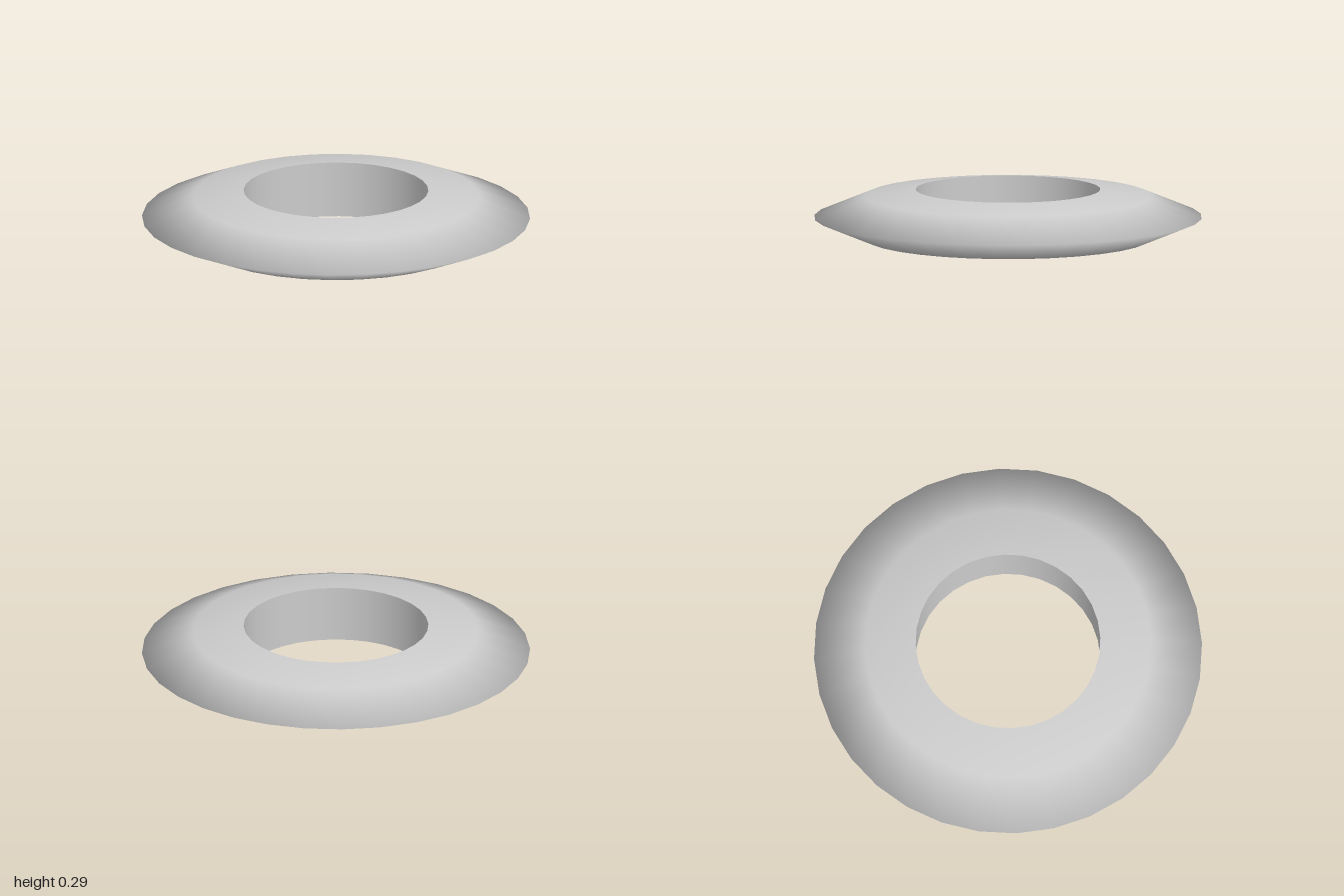
import * as THREE from 'three';

const SEGMENTS = 32;
const material = new THREE.MeshStandardMaterial({ color: 0xcccccc });

function revolve(name, profile) {
  const points = profile.map(([r, y]) => new THREE.Vector2(r, y));
  const mesh = new THREE.Mesh(new THREE.LatheGeometry(points, SEGMENTS), material);
  mesh.name = name;
  return mesh;
}

export function createModel() {
  const group = new THREE.Group();
  group.name = 'ring';

  const hole = 0.476, height = 0.29;

  // Lens-shaped body: underside, sharp rim, top, with smooth shading across the rim
  group.add(revolve('ringBody', [
    [hole, 0], [0.737, 0.035], [1, height / 2], [0.737, height - 0.035], [hole, height],
  ]));

  // Straight wall of the central hole, with hard edges to the body
  group.add(revolve('holeWall', [[hole, height], [hole, 0]]));

  return group;
}
